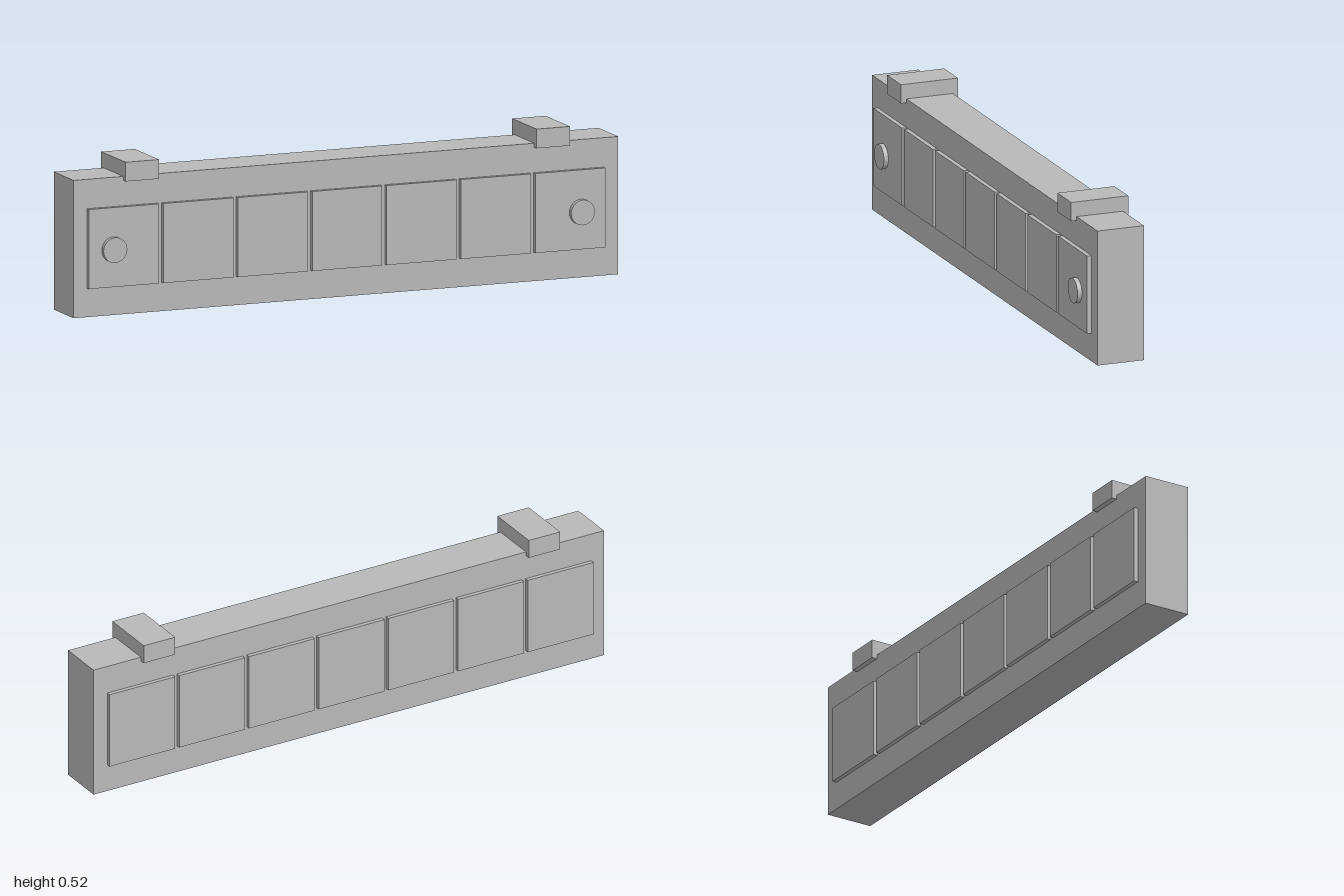
import * as THREE from 'three';

export function createModel() {
  const model = new THREE.Group();
  const grey = new THREE.MeshStandardMaterial({ color: 0xb8b8b8 });
  grey.name = 'plain grey';

  const add = (name, geometry, x, y, z) => {
    const mesh = new THREE.Mesh(geometry, grey);
    mesh.name = name;
    mesh.position.set(x, y, z);
    model.add(mesh);
    return mesh;
  };

  // Box given by its centre x, width and its y and z ranges
  const addBox = (name, x, width, [y0, y1], [z0, z1]) =>
    add(name, new THREE.BoxGeometry(width, y1 - y0, z1 - z0), x, (y0 + y1) / 2, (z0 + z1) / 2);

  // Long main slab
  addBox('body', 0, 2, [0, 0.473], [-0.09, 0.079]);

  // Seven raised panels on the front and on the back
  for (let i = -3; i <= 3; i++) {
    const x = -0.002 + i * 0.2733;
    addBox('frontPanel', x, 0.257, [0.099, 0.372], [0.07, 0.095]);
    addBox('backPanel', x, 0.257, [0.099, 0.372], [-0.105, -0.08]);
  }

  // Round buttons on the outer front panels
  for (const x of [-0.86, 0.857]) {
    const button = add('button', new THREE.CylinderGeometry(0.0435, 0.0435, 0.03, 32), x, 0.228, 0.096);
    button.rotation.x = Math.PI / 2;
  }

  // Clips straddling the top edge
  for (const x of [-0.756, 0.753]) {
    addBox('topClip', x, 0.123, [0.459, 0.525], [-0.109, 0.099]);
  }

  return model;
}
